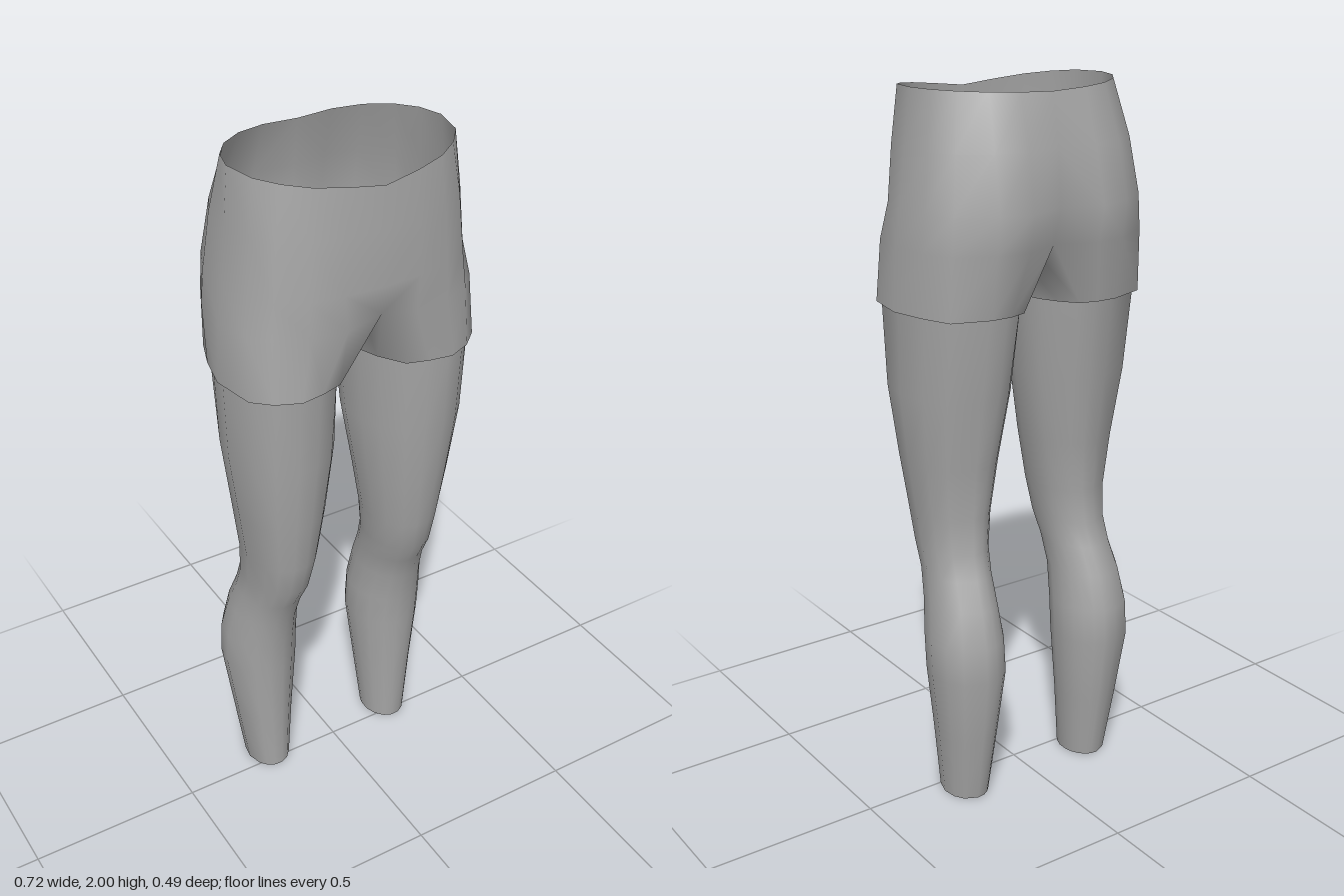
import * as THREE from 'three';
import { mergeGeometries, mergeVertices } from 'three/addons/utils/BufferGeometryUtils.js';

const fabric = new THREE.MeshStandardMaterial({ color: 0xa6a6a6, side: THREE.DoubleSide });
fabric.name = 'grey fabric';

// Cross-sections as [x, z], running front centre -> outer side -> back centre
const WAIST = [[0, .24], [.1, .227], [.18, .205], [.24, .165], [.285, .11], [.304, .02],
  [.285, -.05], [.245, -.105], [.18, -.15], [.1, -.172], [0, -.172]];
const BELLY = [[0, .245], [.105, .236], [.19, .216], [.262, .173], [.302, .117], [.32, .025],
  [.312, -.07], [.275, -.14], [.195, -.197], [.105, -.217], [0, -.195]];
const HIPS = [[0, .245], [.11, .238], [.2, .222], [.275, .18], [.315, .12], [.335, .03],
  [.33, -.08], [.295, -.16], [.2, -.227], [.11, -.247], [0, -.208]];
const SEAT = [[0, .232], [.1, .237], [.2, .228], [.285, .185], [.33, .14], [.35, .03],
  [.34, -.08], [.302, -.16], [.2, -.215], [.11, -.23], [0, -.18]];
// Crotch arc on the centre plane, back to front, as [y, z]
const CROTCH = [[1.545, -.14], [1.51, -.08], [1.5, -.02], [1.52, .06], [1.57, .15]];
// Closed thigh section: outer points, then the inner thigh from back to front
const HEM = [[.1, .2], [.16, .218], [.225, .228], [.29, .2], [.338, .155], [.36, .03],
  [.337, -.07], [.305, -.155], [.2, -.19], [.14, -.19], [.09, -.175],
  [.055, -.13], [.03, -.08], [.015, -.02], [.03, .06], [.055, .13]];
const HEM_Y = 1.43;

// Leg extents: y, inner x, outer x, back z, front z
const LEG = [
  [HEM_Y, .027, .346, -.176, .217], [1.2, .04, .343, -.147, .205], [1.0, .07, .32, -.115, .182],
  [.85, .095, .3, -.102, .162], [.75, .11, .294, -.108, .138], [.68, .118, .296, -.13, .102],
  [.6, .12, .308, -.165, .075], [.5, .112, .323, -.19, .056], [.4, .11, .325, -.196, .046],
  [.2, .13, .3, -.165, .036], [0, .148, .276, -.13, .03],
];

const level = (section, y) => section.map(([x, z]) => [x, y, z]);

// Skin a stack of rings listed from top to bottom; side -1 mirrors it
function loft(rings, closed, side) {
  const n = rings[0].length, index = [];
  for (let r = 0; r < rings.length - 1; r++) {
    for (let i = 0; i < (closed ? n : n - 1); i++) {
      const j = (i + 1) % n;
      const [a, b, c, d] = [(r + 1) * n + i, (r + 1) * n + j, r * n + j, r * n + i];
      if (side > 0) index.push(a, b, c, a, c, d);
      else index.push(a, c, b, a, d, c);
    }
  }
  const points = rings.flat().flatMap(([x, y, z]) => [x * side, y, z]);
  const g = new THREE.BufferGeometry();
  g.setAttribute('position', new THREE.Float32BufferAttribute(points, 3));
  g.setIndex(index);
  return g;
}

function smooth(parts) {
  const g = mergeVertices(mergeGeometries(parts), 1e-4);
  g.computeVertexNormals();
  return g;
}

// Thigh section easing into an oval towards the ankle
function legRing([y, x0, x1, z0, z1]) {
  const t = Math.min(1, (HEM_Y - y) / .7);
  return HEM.map(([x, z]) => {
    const u = (x - .1875) / .1725, v = (z - .019) / .209, len = Math.hypot(u, v);
    const k = 1 + t * (1 / len - 1);
    return [(x0 + x1) / 2 + u * k * (x1 - x0) / 2, y, (z0 + z1) / 2 + v * k * (z1 - z0) / 2];
  });
}

export function createModel() {
  const group = new THREE.Group();
  const add = (name, geometry) => {
    const mesh = new THREE.Mesh(geometry, fabric);
    mesh.name = name;
    group.add(mesh);
  };

  // Waistline dips at the front and a little at the back
  const waist = WAIST.map(([x, z]) => [x, 2 - .036 * (1 - x / .304) * (z > 0 ? 1 : .35), z]);
  const seat = level(SEAT, 1.6);
  seat[0][1] = 1.62;
  const crotch = CROTCH.map(([y, z]) => [0, y, z]);
  const hem = level(HEM, HEM_Y);
  const legs = LEG.map(legRing);

  // Shorts: half torso shells, each continuing into a closed thigh
  const shorts = [];
  for (const side of [1, -1]) {
    shorts.push(loft([waist, level(BELLY, 1.85), level(HIPS, 1.7), seat], false, side));
    shorts.push(loft([[...seat, ...crotch], hem], true, side));
  }
  add('shorts', smooth(shorts));

  // Leggings and the narrow ledge under each shorts hem
  for (const [side, label] of [[1, 'left'], [-1, 'right']]) {
    add(label + 'Hem', smooth([loft([hem, legs[0]], true, side)]));
    add(label + 'Legging', smooth([loft(legs, true, side)]));
  }
  return group;
}
